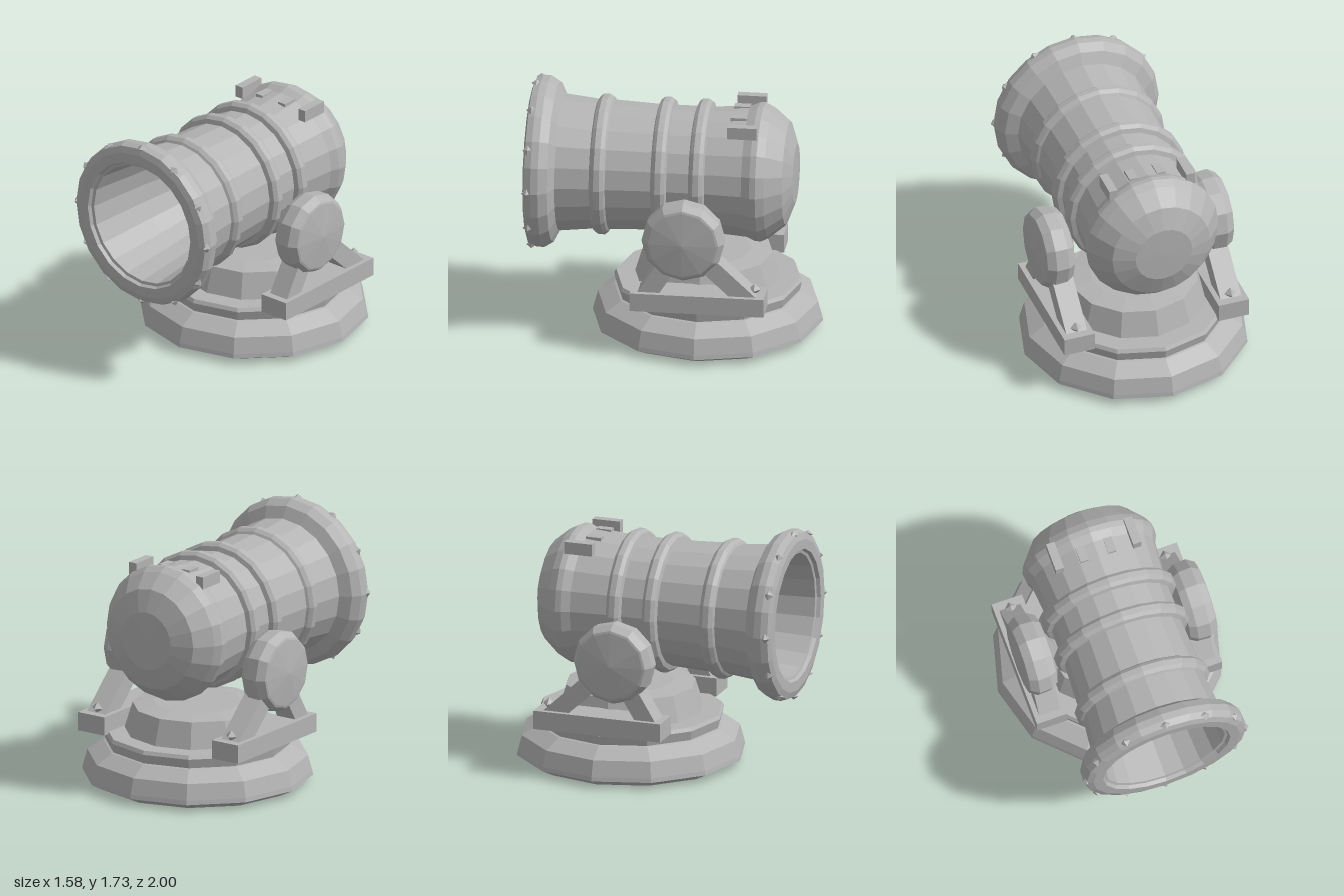
import * as THREE from 'three';

const grey = new THREE.MeshStandardMaterial({ color: 0xb4b4b4, flatShading: true });
grey.name = 'castIronGrey';

const AXIS_Y = 1.13;   // barrel axis height
const PIVOT_Z = -0.115; // trunnion position
const PIVOT_Y = 0.85;
const BASE_Z = -0.21;

function add(parent, name, geometry, x = 0, y = 0, z = 0) {
  const mesh = new THREE.Mesh(geometry, grey);
  mesh.name = name;
  mesh.position.set(x, y, z);
  parent.add(mesh);
  return mesh;
}

// Profile points are [radius, height]
function lathe(profile, sides) {
  return new THREE.LatheGeometry(profile.map(([r, h]) => new THREE.Vector2(r, h)), sides);
}

// Rounded reinforcing band around the barrel, centred at z
function band(z, r) {
  return [[r, z - 0.055], [0.462, z - 0.045], [0.482, z - 0.02],
    [0.482, z + 0.02], [0.462, z + 0.045], [r, z + 0.055]];
}

export function createModel() {
  const model = new THREE.Group();
  model.name = 'cannon';

  // Stepped twelve-sided pedestal
  add(model, 'pedestal', lathe([
    [0, 0], [0.69, 0], [0.79, 0.05], [0.785, 0.08], [0.755, 0.19], [0.645, 0.26],
    [0.63, 0.265], [0.645, 0.33], [0.63, 0.355], [0.5, 0.355], [0.445, 0.535], [0.3, 0.555], [0, 0.555],
  ], 12), 0, 0, BASE_Z);

  // Barrel: rear cap, body with bands, flared lip and tapered bore
  const barrel = lathe([
    [0, -0.82], [0.205, -0.815], [0.355, -0.76], [0.45, -0.645], [0.478, -0.59], [0.475, -0.55],
    [0.45, -0.49], [0.435, -0.3],
    ...band(-0.18, 0.43), ...band(0.08, 0.43), ...band(0.5, 0.445),
    [0.47, 0.79], [0.55, 0.83], [0.588, 0.89], [0.59, 0.94], [0.575, 0.985],
    [0.53, 1], [0.46, 1], [0.45, 0.975], [0.43, 0.97],
    [0.385, 0.5], [0.295, -0.1], [0.21, -0.12], [0, -0.13],
  ], 20);
  barrel.rotateX(Math.PI / 2);
  add(model, 'barrel', barrel, 0, AXIS_Y, 0);

  // Twelve pointed studs around the lip
  const studs = new THREE.Group();
  studs.name = 'lipStuds';
  model.add(studs);
  for (let i = 0; i < 12; i++) {
    const a = i * Math.PI / 6;
    const stud = add(studs, 'lipStud', new THREE.OctahedronGeometry(0.036),
      Math.sin(a) * 0.575, AXIS_Y + Math.cos(a) * 0.575, 0.968);
    stud.rotation.z = -a;
    stud.scale.y = 0.75;
  }

  // Trunnion drum with a shallow conical face
  const drum = lathe([[0, 0.4], [0.25, 0.48], [0.28, 0.53], [0.285, 0.62],
    [0.25, 0.675], [0.235, 0.68], [0, 0.705]], 12);
  drum.rotateZ(-Math.PI / 2);

  // Slanted leg outline in z,y, extruded across x
  function leg(outer, inner) {
    const shape = new THREE.Shape([
      [outer, 0.46], [inner, 0.46],
      [PIVOT_Z + (inner - outer) * 0.5, PIVOT_Y], [PIVOT_Z - (inner - outer) * 0.5, PIVOT_Y],
    ].map(([z, y]) => new THREE.Vector2(-z, y)));
    const g = new THREE.ExtrudeGeometry(shape, { depth: 0.15, bevelEnabled: false });
    g.translate(0, 0, -0.075);
    g.rotateY(Math.PI / 2);
    return g;
  }

  for (const side of [1, -1]) {
    const support = new THREE.Group();
    support.name = side > 0 ? 'leftSupport' : 'rightSupport';
    model.add(support);
    const trunnion = add(support, 'trunnion', drum, 0, PIVOT_Y, PIVOT_Z);
    if (side < 0) trunnion.rotation.y = Math.PI;
    add(support, 'footBeam', new THREE.BoxGeometry(0.22, 0.13, 0.92), side * 0.56, 0.405, -0.215);
    add(support, 'frontLeg', leg(0.2, 0.05), side * 0.56);
    add(support, 'rearLeg', leg(-0.625, -0.44), side * 0.56);
    add(support, 'footStud', new THREE.OctahedronGeometry(0.042), side * 0.56, 0.5, -0.6);
    // Raised lugs on top of the breech
    add(support, 'outerLug', new THREE.BoxGeometry(0.06, 0.085, 0.2), side * 0.28, 1.538, -0.48);
    add(support, 'innerLug', new THREE.BoxGeometry(0.06, 0.08, 0.11), side * 0.1, 1.535, -0.435);
  }
  return model;
}
